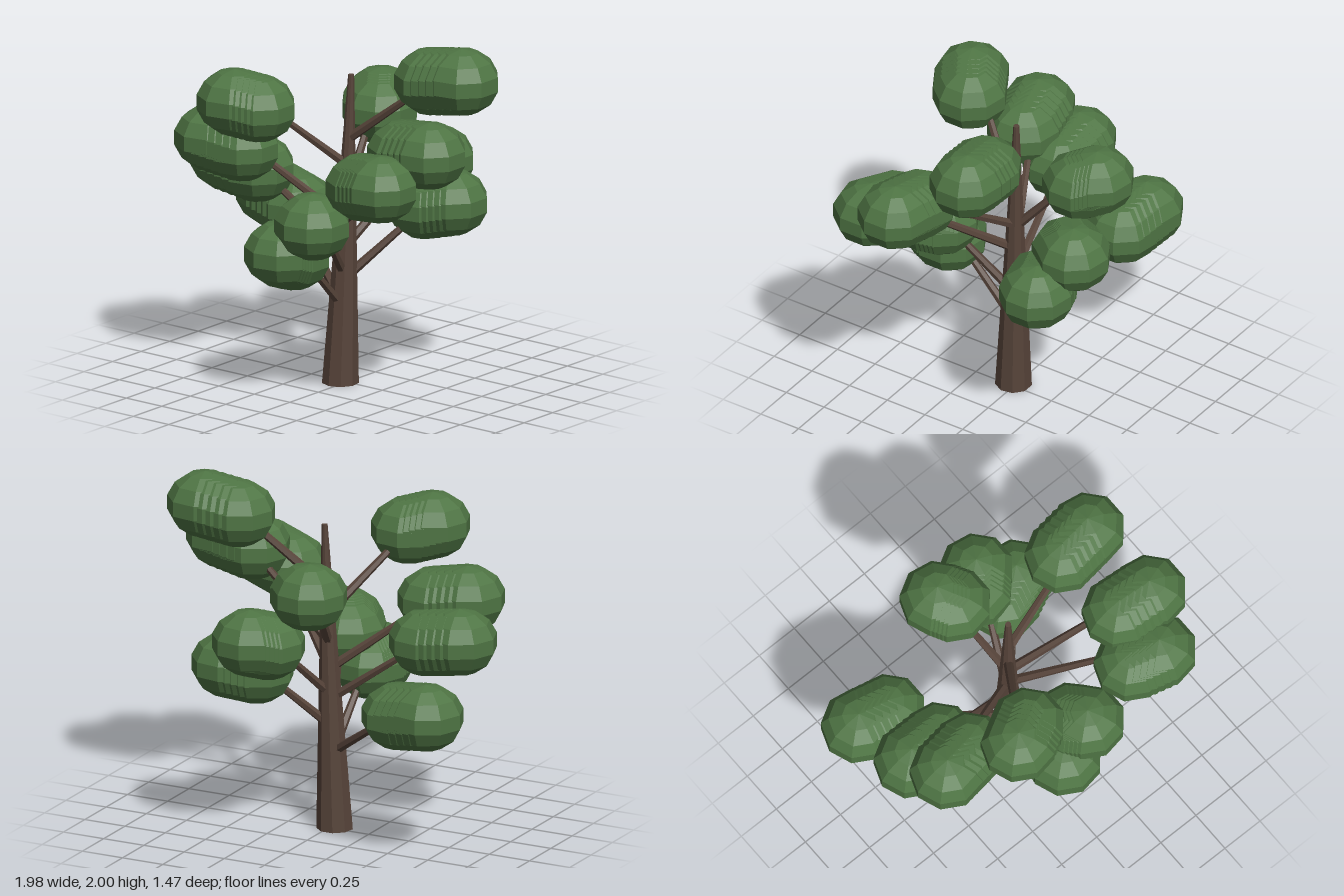
import * as THREE from 'three';

const HEIGHT = 1.76;
// Trunk axis leans slightly from base to tip
const axisAt = (y) => new THREE.Vector3(-0.03 + 0.04 * y / HEIGHT, y, 0.02 - 0.045 * y / HEIGHT);

// Outer leaf ball centre of every bough: x, y, z
const BOUGHS = [
  [-0.79, 0.86, -0.345], [-0.04, 0.85, 0.52], [0.395, 1.01, -0.42], [0.15, 1.035, 0.49],
  [-0.77, 1.17, 0.085], [0.205, 1.195, -0.535], [0.645, 1.345, 0.51], [-0.70, 1.345, 0.31],
  [-0.13, 1.49, -0.465], [0.785, 1.505, 0.255], [-0.37, 1.66, 0.525], [0.685, 1.815, -0.155],
];

export function createModel() {
  const bark = new THREE.MeshStandardMaterial({ color: 0x57443a });
  const leaf = new THREE.MeshStandardMaterial({ color: 0x4f7544 });
  bark.name = 'bark brown';
  leaf.name = 'leaf green';
  const tree = new THREE.Group();
  tree.name = 'tree';

  const add = (parent, geometry, material, name) => {
    const flat = geometry.toNonIndexed();
    flat.computeVertexNormals();
    const mesh = new THREE.Mesh(flat, material);
    mesh.name = name;
    parent.add(mesh);
    return mesh;
  };

  // Trunk: tapered cylinder sheared along its leaning axis
  const trunk = new THREE.CylinderGeometry(0.017, 0.103, HEIGHT, 9, 4);
  trunk.translate(0, HEIGHT / 2, 0);
  const p = trunk.attributes.position;
  for (let i = 0; i < p.count; i++) {
    const c = axisAt(p.getY(i));
    p.setXYZ(i, p.getX(i) + c.x, p.getY(i), p.getZ(i) + c.z);
  }
  add(tree, trunk, bark, 'trunk');

  // Low-poly squashed leaf ball
  const ball = new THREE.SphereGeometry(1, 9, 7);
  ball.scale(0.216, 0.188, 0.212);

  for (const [x, y, z] of BOUGHS) {
    const bough = new THREE.Group();
    bough.name = 'bough';
    tree.add(bough);

    // Branch: from the trunk axis up into the leaves
    const start = axisAt(y - 0.42);
    const end = new THREE.Vector3(x * 0.68, y - 0.06, z * 0.68);
    const dir = end.clone().sub(start);
    const stick = new THREE.CylinderGeometry(0.018, 0.028, dir.length(), 6);
    const branch = add(bough, stick, bark, 'branch');
    branch.position.copy(start).add(end).multiplyScalar(0.5);
    branch.quaternion.setFromUnitVectors(new THREE.Vector3(0, 1, 0), dir.normalize());

    // Foliage: overlapping balls stepping inward along the branch
    const reach = Math.hypot(x, z);
    for (let i = 0; i < 5; i++) {
      const t = i / 4;
      const clump = add(bough, ball, leaf, 'leafClump');
      clump.position.set(x - 0.2 * t * x / reach, y - 0.03 * t, z - 0.08 * t * z / reach);
    }
  }
  return tree;
}
